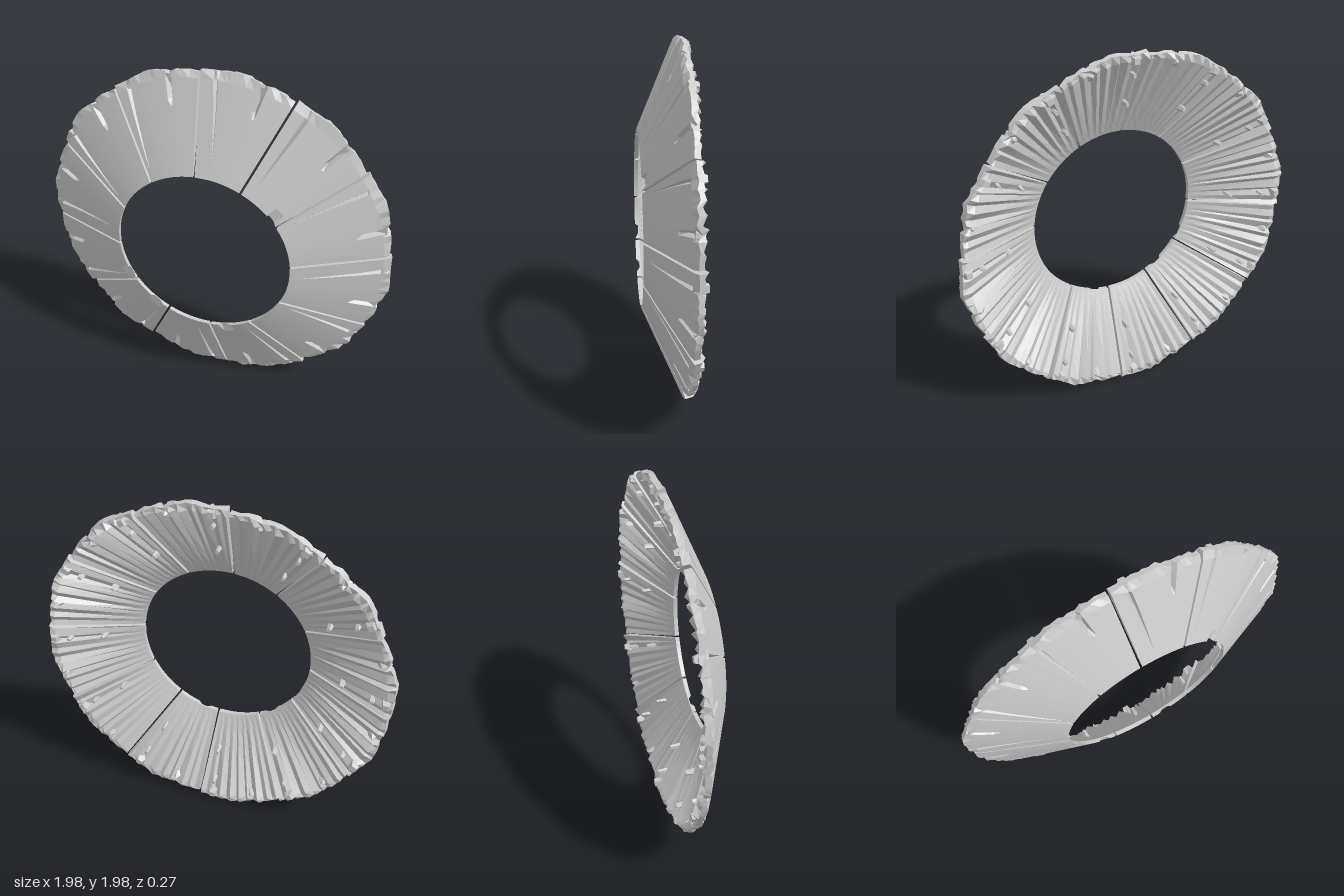
import * as THREE from 'three';

const SEGMENTS = 12;
const RAD = Math.PI / 180;
const R_IN = 0.49, R_OUT = 0.945;
const material = new THREE.MeshStandardMaterial({ color: 0xcccccc, flatShading: true, side: THREE.DoubleSide });

// Radial stations; the last one is the ragged rim
const STATIONS = [R_IN, 0.55, 0.64, 0.82, 0.85, 0.935, R_OUT, 0.985];
// Front columns in degrees from the segment centre; 'g' columns follow the long groove
const COLUMNS = [-15, -12, -9.5, -7, -6, -5, -4, -2.5, 0, 2, 4, 5.5, 7, 'g-', 'g', 'g+', 15];
const N = COLUMNS.length;
// How far each long groove leans, and which segments are chipped at the bore
const LEAN = [2.5, 0, -4, 3, 3, -4, 1, 1, -4, -1, 2.5, -3];
const CHIPS = { 1: -10, 7: 4, 9: -5, 6: 8 };

function seeded(seed) {
  let s = seed;
  return () => {
    s = (s * 16807) % 2147483647;
    return s / 2147483647;
  };
}

const clamp01 = (t) => Math.min(1, Math.max(0, t));
const coneZ = (r) => 0.135 - ((r - R_IN) / (R_OUT - R_IN)) * 0.197;

// Polygonal outline of the rim
function rimRadius(a) {
  const pts = [[-15, 0.968], [-8, 0.985], [-5, 0.972], [-3, 0.985], [3, 0.998], [9, 0.982], [15, 0.983]];
  for (let i = 1; i < pts.length; i++) {
    const [a0, r0] = pts[i - 1], [a1, r1] = pts[i];
    if (a <= a1) return r0 + ((r1 - r0) * (a - a0)) / (a1 - a0);
  }
  return 0.983;
}

// One wedge: closed cross-sections (front columns, then pleated back columns) lofted outwards
function segmentGeometry(k) {
  const rand = seeded(977 + k * 131);
  const mid = 20 + 30 * k;
  const pleat = COLUMNS.map((_, j) => (j % 2 ? 0.012 + rand() * 0.008 : 0.03 + rand() * 0.022));
  const shift = COLUMNS.map((_, j) => (j === 0 || j === N - 1 ? 0 : (rand() - 0.5) * 1.4));
  const rough = COLUMNS.map(() => rand() - 0.5);
  const pos = [], idx = [];

  const put = (r, a, z) => {
    const gap = (15 - Math.asin(0.006 / r) / RAD) / 15;
    const t = (mid + a * gap) * RAD;
    pos.push(r * Math.cos(t), r * Math.sin(t), z);
  };

  STATIONS.forEach((r, i) => {
    const rim = i === STATIONS.length - 1;
    const grow = clamp01((r - R_IN) / (R_OUT - R_IN));
    const grooveIn = clamp01((r - 0.55) / 0.385);
    const g = 10 + LEAN[k] * (1 - grooveIn);
    // Front face with the long groove, the rim notch and bore chips
    COLUMNS.forEach((c, j) => {
      const w = 0.15 + 0.65 * grooveIn;
      const a = c === 'g' ? g : c === 'g-' ? g - w : c === 'g+' ? g + w : Math.min(c, 5.6 + (c - 5.5) * 0.1 < c && c > 5.5 && c < 15 ? Math.min(c, g - 1 - (7 - c) * 0.2) : c);
      let z = coneZ(r);
      if (c === 'g' && r < R_OUT) z -= 0.026 * grooveIn;
      if (c === -5 && r > 0.83) z -= 0.03;
      if (i === 0 && k in CHIPS && Math.abs(a - CHIPS[k]) < 4) z -= 0.018;
      if (rim) put(rimRadius(a) + rough[j] * 0.008, a, -0.084 + rough[j] * 0.02 - (c === -5 ? 0.012 : 0));
      else put(r, a, z);
    });
    // Back face, listed in reverse, with pleats that deepen outwards
    for (let j = N - 1; j >= 0; j--) {
      const a = -15 + (30 * j) / (N - 1) + shift[j];
      if (rim) put(rimRadius(a) - 0.008, a, -0.105 - pleat[j] * 0.3 + rough[j] * 0.01);
      else put(r, a, coneZ(r) - 0.024 - pleat[j] * grow);
    }
  });

  const L = 2 * N, last = (STATIONS.length - 1) * L;
  for (let i = 0; i < STATIONS.length - 1; i++) {
    for (let j = 0; j < L; j++) {
      const a = i * L + j, b = i * L + ((j + 1) % L);
      idx.push(a, a + L, b + L, a, b + L, b);
    }
  }
  // Bore wall and rim wall
  for (let j = 0; j < N - 1; j++) {
    const f0 = j, f1 = j + 1, b1 = L - 2 - j, b0 = L - 1 - j;
    idx.push(f0, f1, b1, f0, b1, b0);
    idx.push(last + f0, last + b1, last + f1, last + f0, last + b0, last + b1);
  }

  const geo = new THREE.BufferGeometry();
  geo.setAttribute('position', new THREE.Float32BufferAttribute(pos, 3));
  geo.setIndex(idx);
  const flat = geo.toNonIndexed();
  flat.computeVertexNormals();
  return flat;
}

// Places a part on the ring at an angle and radius, its x axis pointing outwards
function place(parent, name, geometry, deg, r, z) {
  const mesh = new THREE.Mesh(geometry, material);
  mesh.name = name;
  mesh.position.set(r * Math.cos(deg * RAD), r * Math.sin(deg * RAD), z);
  mesh.rotation.z = deg * RAD;
  parent.add(mesh);
  return mesh;
}

export function createModel() {
  const model = new THREE.Group();
  model.name = 'segmentedRing';

  const ring = new THREE.Group();
  ring.name = 'ring';
  ring.position.y = 1;
  model.add(ring);

  const lug = new THREE.CylinderGeometry(0.022, 0.038, 0.045, 4, 1);
  lug.rotateY(Math.PI / 4).rotateX(-Math.PI / 2);
  const shard = new THREE.ConeGeometry(0.045, 0.055, 5);
  shard.rotateX(-Math.PI / 2);
  const peg = new THREE.CylinderGeometry(0.009, 0.014, 0.06, 5);
  peg.rotateX(-Math.PI / 2).scale(1.5, 1, 1);

  for (let k = 0; k < SEGMENTS; k++) {
    const segment = new THREE.Group();
    segment.name = `segment${k + 1}`;
    ring.add(segment);

    const body = new THREE.Mesh(segmentGeometry(k), material);
    body.name = 'segmentBody';
    segment.add(body);

    // Lug and shard on the back of the rim
    const grooveAngle = 30 * (k + 1), notchAngle = grooveAngle - 15;
    place(segment, 'rimLug', lug, grooveAngle, 0.945, -0.113);
    place(segment, 'rimShard', shard, notchAngle, 0.93, -0.1);

    // Two pegs on the back face
    for (const r of [0.865, 0.69]) place(segment, 'backPeg', peg, grooveAngle, r, coneZ(r) - 0.055);
  }
  return model;
}
